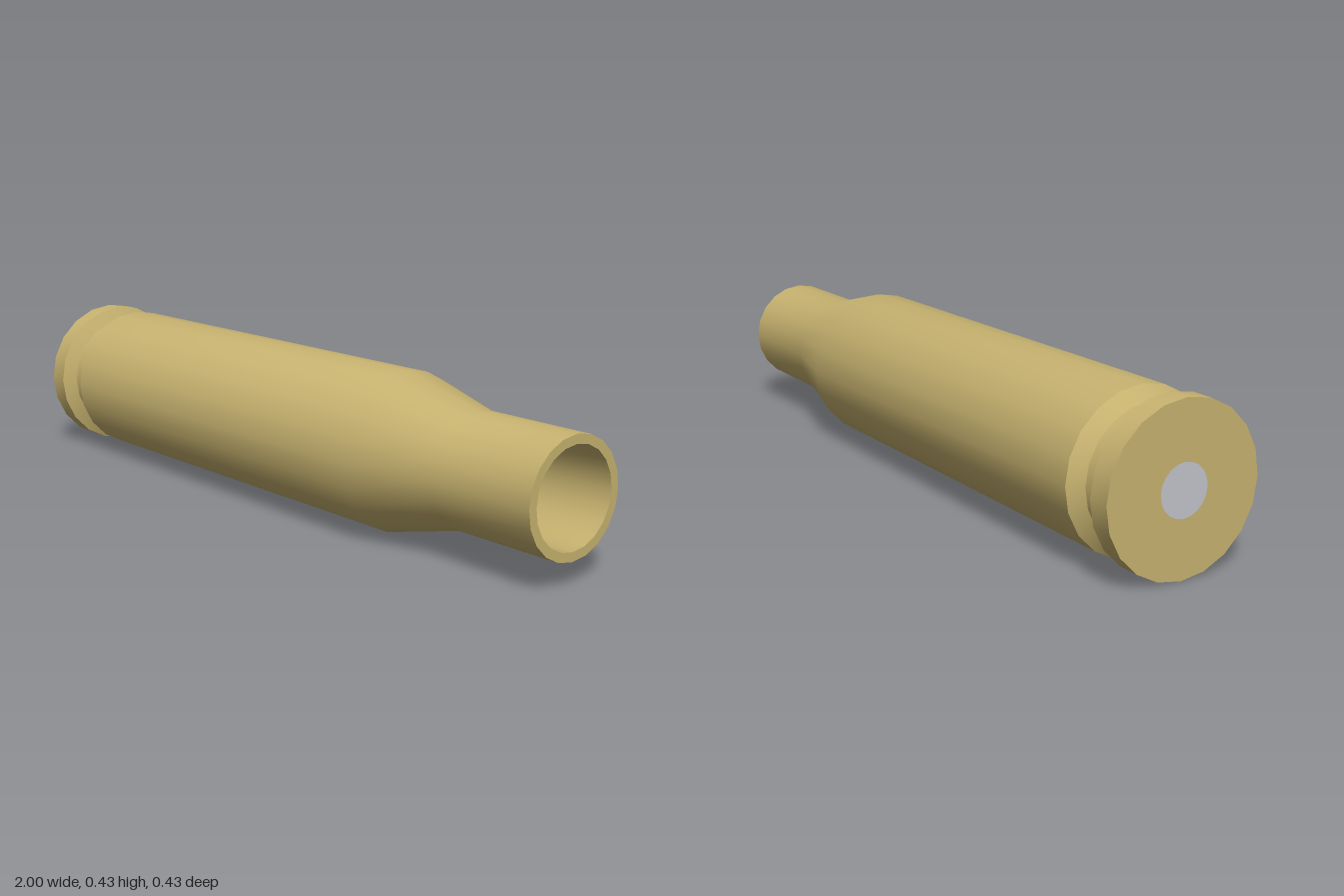
import * as THREE from 'three';
import { toCreasedNormals } from 'three/addons/utils/BufferGeometryUtils.js';

const SIDES = 20;
const RIM = 0.216;
const PRIMER = 0.067;

// Turns a [radius, x] profile around the long x axis, resting on y = 0.
function turned(name, profile, material) {
  const points = profile.map(([r, x]) => new THREE.Vector2(r, x));
  const lathe = new THREE.LatheGeometry(points, SIDES).rotateZ(-Math.PI / 2);
  const mesh = new THREE.Mesh(toCreasedNormals(lathe, THREE.MathUtils.degToRad(25)), material);
  mesh.name = name;
  mesh.position.y = RIM;
  return mesh;
}

export function createModel() {
  const brass = new THREE.MeshStandardMaterial({ name: 'brass', color: 0xc8b370 });
  const steel = new THREE.MeshStandardMaterial({ name: 'primer grey', color: 0xc4c4cc });

  const group = new THREE.Group();
  group.name = 'cartridgeCase';

  // Base and rim
  group.add(turned('rim', [
    [PRIMER, -1], [RIM, -1], [RIM, -0.94], [0.176, -0.923],
  ], brass));

  // Extractor groove
  group.add(turned('groove', [
    [0.176, -0.923], [0.176, -0.868], [0.212, -0.84],
  ], brass));

  // Body, shoulder and neck
  group.add(turned('body', [
    [0.212, -0.84], [0.212, 0.44], [0.152, 0.68], [0.152, 1],
  ], brass));

  // Mouth lip and hollow inside, down to the floor
  group.add(turned('mouthAndCavity', [
    [0.152, 1], [0.128, 1], [0.128, 0.68], [0.188, 0.44], [0.188, -0.8], [0, -0.8],
  ], brass));

  // Primer set flush in the base
  group.add(turned('primer', [[0, -1], [PRIMER, -1]], steel));

  return group;
}
